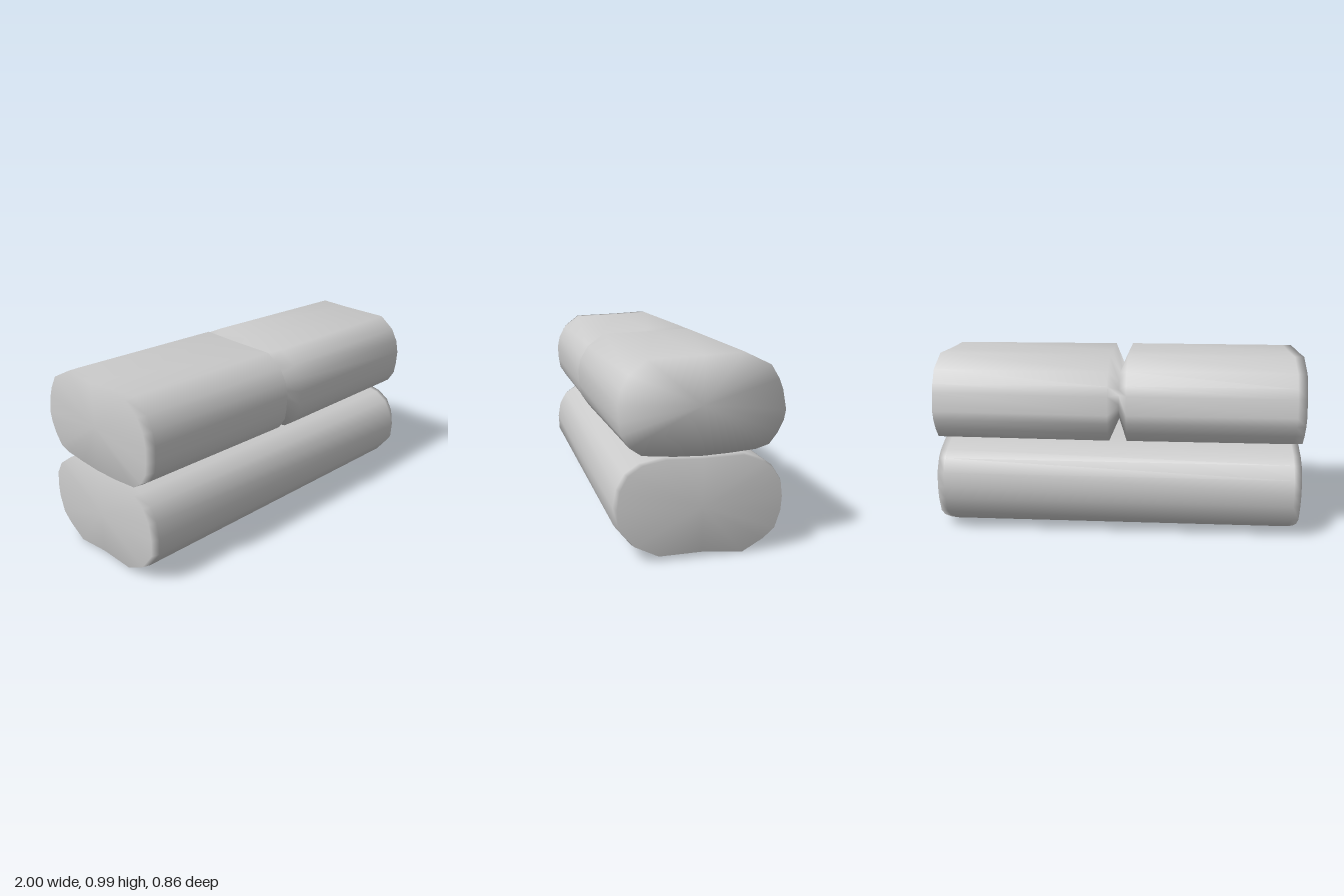
import * as THREE from 'three';

// Outlines as [z, y], running from the underside up the front and back over the top
const lowerOutline = [
  [0.22, 0.02], [0.34, 0.08], [0.42, 0.18], [0.425, 0.27], [0.41, 0.36], [0.37, 0.43],
  [0.3, 0.475], [0.18, 0.497], [0, 0.49], [-0.21, 0.494], [-0.31, 0.455], [-0.36, 0.42],
  [-0.405, 0.35], [-0.415, 0.27], [-0.41, 0.2], [-0.38, 0.11], [-0.32, 0.06],
  [-0.21, 0], [0, 0.022],
];
const upperOutline = [
  [0, 0.5], [0.15, 0.505], [0.31, 0.52], [0.37, 0.56], [0.41, 0.62], [0.42, 0.68],
  [0.425, 0.76], [0.41, 0.83], [0.37, 0.9], [0.28, 0.967], [0, 0.975], [-0.2, 0.985],
  [-0.34, 0.92], [-0.385, 0.85], [-0.405, 0.8], [-0.425, 0.7], [-0.415, 0.65],
  [-0.385, 0.59], [-0.34, 0.535], [-0.27, 0.515], [-0.13, 0.505],
];

// Closed loft along x; each section scales the outline about its middle height
function loft(name, outline, midY, sections) {
  const n = outline.length;
  const positions = [];
  const index = [];
  for (const { x, sz = 1, sy = 1, dz = 0 } of sections) {
    for (const [z, y] of outline) positions.push(x, midY + (y - midY) * sy, z * sz + dz);
  }
  const last = (sections.length - 1) * n;
  const capA = sections.length * n;
  const capB = capA + 1;
  positions.push(sections[0].x, midY, 0, sections.at(-1).x, midY, 0);
  for (let i = 0; i < n; i++) {
    const j = (i + 1) % n;
    for (let s = 0; s < last; s += n) {
      index.push(s + i, s + n + i, s + j, s + j, s + n + i, s + n + j);
    }
    index.push(capA, i, j, capB, last + j, last + i);
  }
  const geometry = new THREE.BufferGeometry();
  geometry.setAttribute('position', new THREE.Float32BufferAttribute(positions, 3));
  geometry.setIndex(index);
  geometry.computeVertexNormals();
  const mesh = new THREE.Mesh(geometry, new THREE.MeshStandardMaterial({ color: 0xcccccc }));
  mesh.name = name;
  return mesh;
}

export function createModel() {
  const group = new THREE.Group();
  group.name = 'stackedCushions';

  // Long lower roll with slightly drawn-in ends
  group.add(loft('lowerRoll', lowerOutline, 0.25, [
    { x: -1, sz: 0.97, sy: 0.99 }, { x: -0.96 },
    { x: 0.96 }, { x: 1, sz: 0.97, sy: 0.99 },
  ]));

  // Upper roll pinched into two halves by a narrow groove
  group.add(loft('upperRoll', upperOutline, 0.74, [
    { x: -1, sz: 0.96 }, { x: -0.95, sz: 0.985 },
    { x: -0.05, sz: 0.99 },
    { x: 0, sz: 0.71, sy: 0.53, dz: 0.03 },
    { x: 0.05, sz: 1.015, sy: 0.99 },
    { x: 1, sz: 0.955, sy: 0.99 },
  ]));
  return group;
}
